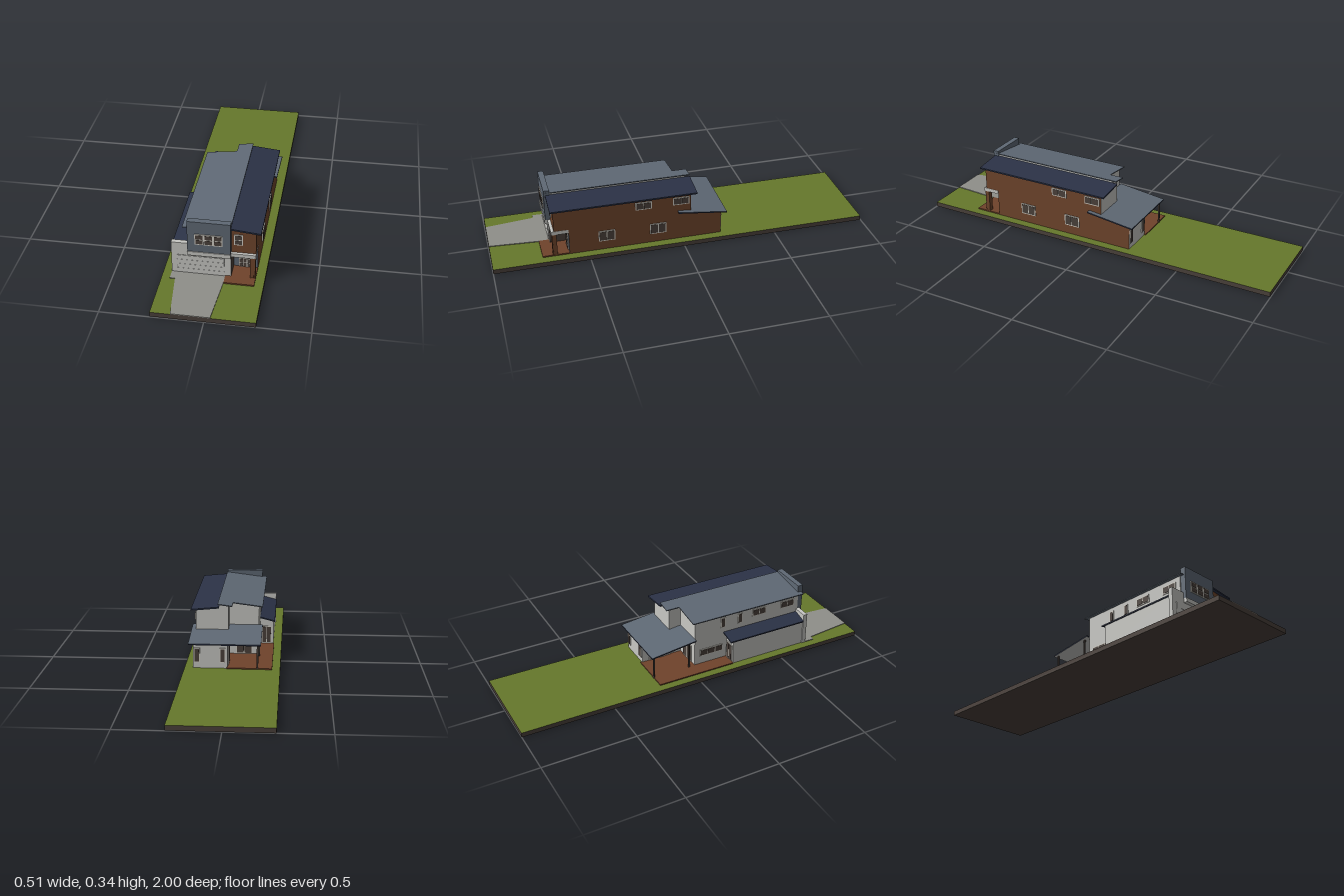
import * as THREE from 'three';

const mat = (name, color) => Object.assign(new THREE.MeshStandardMaterial({ color }), { name });

export function createModel() {
  const grass = mat('grass green', 0x66782b);
  const dark = mat('dark earth', 0x4b413b);
  const light = mat('pale render', 0xc8c8c4);
  const trim = mat('white trim', 0xd2cfc6);
  const brick = mat('brick brown', 0x6f452c);
  const slate = mat('slate blue', 0x5f6975);
  const navy = mat('navy roofing', 0x2b3246);
  const paving = mat('grey paving', 0x8f8f8a);
  const deckMat = mat('red timber', 0x70432b);

  const model = new THREE.Group();
  model.name = 'house';

  // Block whose bottom and top heights may be numbers or functions of (x, z).
  // Several materials follow the order +x, -x, +y, -y, +z, -z.
  const at = (h, x, z) => (typeof h === 'function' ? h(x, z) : h);
  function block(name, material, [x0, x1], [bottom, top], [z0, z1], parent = model) {
    const g = new THREE.BoxGeometry(x1 - x0, 1, z1 - z0);
    g.translate((x0 + x1) / 2, 0, (z0 + z1) / 2);
    const p = g.attributes.position;
    for (let i = 0; i < p.count; i++) {
      p.setY(i, at(p.getY(i) > 0 ? top : bottom, p.getX(i), p.getZ(i)));
    }
    g.computeVertexNormals();
    const mesh = new THREE.Mesh(g, material);
    mesh.name = name;
    parent.add(mesh);
    return mesh;
  }

  // Framed glazing in a grid; turn 0 faces +z, positive angles turn towards +x
  function glazing(name, [x, y, z], w, h, cols, rows, turn = 0, bar = 0.005) {
    const group = new THREE.Group();
    group.name = name;
    group.position.set(x, y, z);
    group.rotation.y = turn;
    block('frame', trim, [-w / 2, w / 2], [-h / 2, h / 2], [-0.002, 0.004], group);
    const pw = (w - bar * (cols + 1)) / cols, ph = (h - bar * (rows + 1)) / rows;
    for (let c = 0; c < cols; c++) {
      for (let r = 0; r < rows; r++) {
        const px = -w / 2 + bar + c * (pw + bar), py = -h / 2 + bar + r * (ph + bar);
        block('pane', dark, [px, px + pw], [py, py + ph], [0.003, 0.0055], group);
      }
    }
    model.add(group);
  }

  const RIGHT = Math.PI / 2, LEFT = -Math.PI / 2, BACK = Math.PI;
  const G = 0.025; // ground level

  // Roof planes
  const mainRoof = (x) => 0.301 + (x + 0.13) * 0.125;
  const sideRoof = (x) => 0.314 - (x - 0.08) * 0.1;
  const rearRoof = (x, z) => 0.189 + z * 0.125;
  const garageRoof = (x) => 0.162 + (x + 0.21) * 0.25;
  const plus = (f, d) => (x, z) => f(x, z) + d;

  // Plot
  block('ground', [dark, dark, grass, dark, dark, dark], [-0.25, 0.25], [0, G], [-0.998, 0.998]);
  const outline = [[-0.208, 0.68], [0.06, 0.68], [0.055, 0.74], [0.036, 0.998],
    [-0.152, 0.998], [-0.182, 0.74], [-0.208, 0.74]];
  const driveShape = new THREE.Shape(outline.map(([x, z]) => new THREE.Vector2(x, -z)));
  const driveGeo = new THREE.ExtrudeGeometry(driveShape, { depth: 0.004, bevelEnabled: false });
  driveGeo.rotateX(-Math.PI / 2).translate(0, G, 0);
  const drive = new THREE.Mesh(driveGeo, paving);
  drive.name = 'driveway';
  model.add(drive);
  block('porchFloor', deckMat, [0.056, 0.205], [G, 0.032], [0.59, 0.74]);
  block('rearDeck', deckMat, [-0.208, 0.03], [G, 0.031], [-0.22, 0.22]);

  // Main walls
  block('leftWing', light, [-0.13, 0.08], [G, mainRoof], [0.025, 0.67]);
  block('lowerRightWing', [brick, light, light, light, slate, light], [0.08, 0.205], [G, 0.172], [-0.045, 0.6]);
  block('upperRightWing', [brick, light, light, light, brick, light], [0.08, 0.205], [0.172, sideRoof], [-0.045, 0.675]);
  block('rearStep', light, [0.03, 0.08], [G, mainRoof], [-0.045, 0.03]);
  block('rearRoom', [brick, light, light, light, light, light], [0.025, 0.205], [G, rearRoof], [-0.21, -0.04]);

  // Front box with parapet, pale band over the porch
  block('frontBox', slate, [-0.125, 0.085], [0.172, 0.345], [0.67, 0.7]);
  block('frontBand', light, [-0.125, 0.085], [0.15, 0.172], [0.66, 0.704]);
  block('porchBand', light, [0.08, 0.206], [0.152, 0.172], [0.599, 0.69]);

  // Garage
  block('garage', light, [-0.203, -0.13], [G, garageRoof], [0.22, 0.67]);
  block('garageFront', light, [-0.208, -0.125], [G, 0.205], [0.662, 0.685]);
  block('garageFrontLower', [dark, light, light, light, light, light], [-0.125, 0.085], [G, 0.152], [0.6, 0.685]);
  block('garageRoof', navy, [-0.211, -0.13], [garageRoof, plus(garageRoof, 0.007)], [0.2, 0.662]);
  block('garageDoorGap', paving, [-0.181, 0.053], [0.03, 0.134], [0.684, 0.686]);
  for (let i = 0; i < 4; i++) {
    const y = 0.0305 + i * 0.0258;
    block('garageDoorPanel', light, [-0.18, 0.052], [y, y + 0.025], [0.685, 0.688]);
  }

  // Slatted porch post
  block('porchPost', brick, [0.178, 0.204], [0.03, 0.152], [0.662, 0.682]);
  for (let i = 0; i < 4; i++) {
    const x = 0.178 + i * 0.007;
    block('postSlat', brick, [x, x + 0.004], [0.03, 0.152], [0.682, 0.686]);
  }

  // Roofs
  block('mainRoof', slate, [-0.15, 0.087], [mainRoof, plus(mainRoof, 0.005)], [0.005, 0.69]);
  block('mainRoofRear', slate, [0.01, 0.087], [mainRoof, plus(mainRoof, 0.005)], [-0.07, 0.005]);
  block('sideRoof', navy, [0.08, 0.23], [plus(sideRoof, -0.004), plus(sideRoof, 0.004)], [-0.073, 0.692]);
  block('rearRoof', [navy, navy, slate, light, navy, navy], [-0.15, 0.228],
    [plus(rearRoof, -0.003), plus(rearRoof, 0.004)], [-0.236, 0.025]);
  for (const z of [-0.218, -0.01]) {
    block('deckPost', dark, [-0.136, -0.128], [G, (x) => rearRoof(x, z)], [z - 0.004, z + 0.004]);
  }

  // Front windows and door
  for (let i = 0; i < 3; i++) {
    glazing('frontWindow', [-0.066 + i * 0.0455, 0.247, 0.7], 0.045, 0.06, 1, 2);
  }
  glazing('brickFrontWindow', [0.12, 0.247, 0.675], 0.044, 0.06, 1, 2);
  glazing('frontDoor', [0.142, 0.082, 0.6], 0.062, 0.102, 3, 4, 0, 0.004);

  // Right windows
  for (const z of [0.207, 0.008]) glazing('upperRightWindow', [0.205, 0.254, z], 0.087, 0.043, 2, 1, RIGHT);
  for (const z of [0.403, 0.131]) glazing('lowerRightWindow', [0.205, 0.106, z], 0.087, 0.06, 2, 1, RIGHT);

  // Left windows
  for (const z of [0.42, 0.6]) glazing('upperLeftWindow', [-0.13, 0.258, z], 0.085, 0.042, 2, 1, LEFT);
  for (const z of [0.196, 0.3]) glazing('narrowLeftWindow', [-0.13, 0.25, z], 0.028, 0.06, 1, 1, LEFT);
  glazing('lowerLeftWindow', [-0.13, 0.098, 0.125], 0.14, 0.04, 3, 1, LEFT);

  // Rear openings
  glazing('garageRearDoor', [-0.166, 0.083, 0.22], 0.055, 0.1, 2, 1, BACK);
  for (const x of [0.185, 0.05]) glazing('rearRoomWindow', [x, 0.095, -0.21], 0.032, 0.08, 1, 1, BACK);
  glazing('deckSideDoor', [0.025, 0.083, -0.125], 0.09, 0.102, 2, 1, LEFT);
  glazing('deckRearDoor', [-0.05, 0.083, 0.025], 0.09, 0.102, 2, 1, BACK);

  // The plot sits at a slight angle
  model.rotation.y = -0.0065;
  const root = new THREE.Group();
  root.name = 'houseOnPlot';
  root.add(model);
  return root;
}
